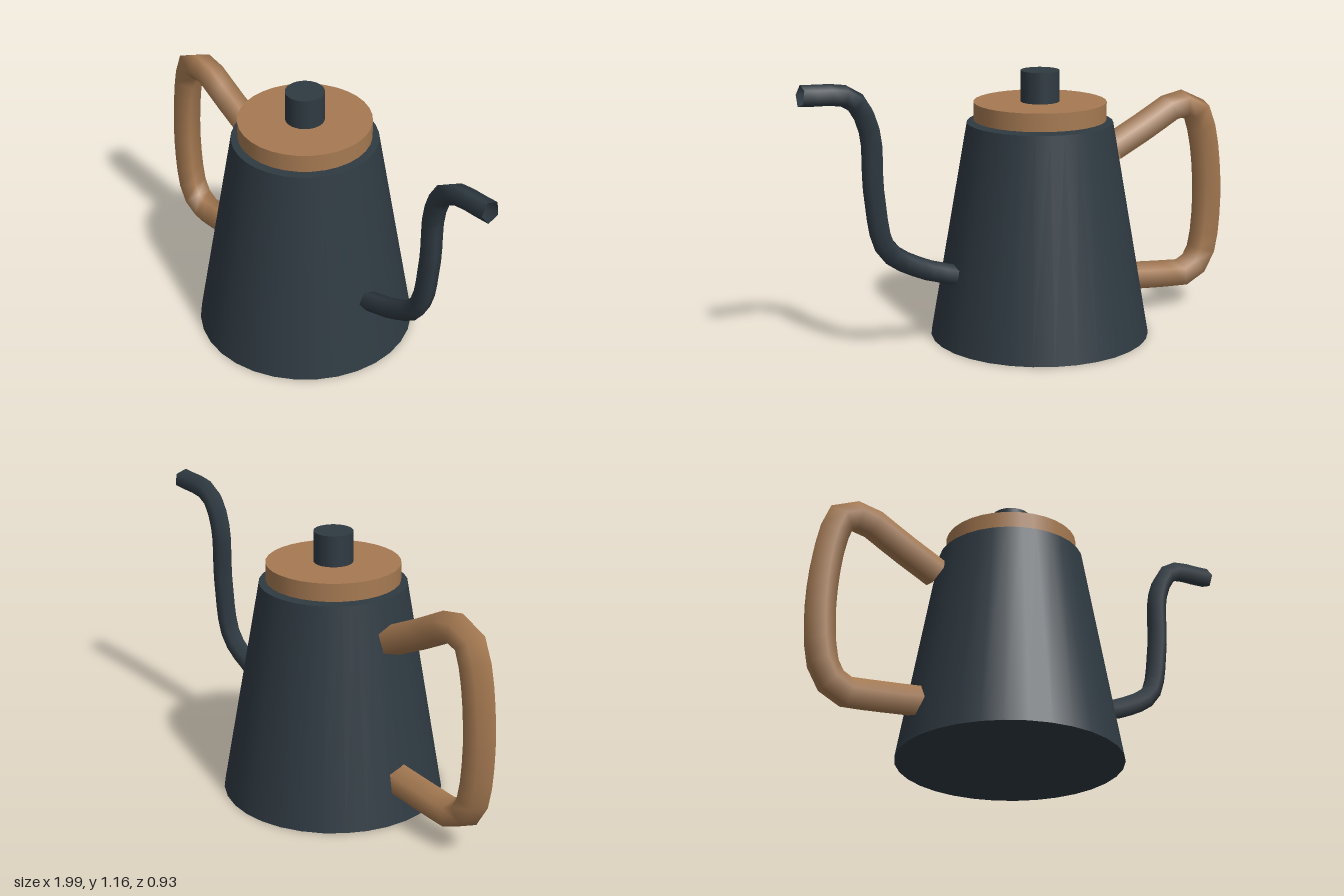
import * as THREE from 'three';

export function createModel() {
  const model = new THREE.Group();
  const metal = new THREE.MeshStandardMaterial({ color: 0x2f3a42 });
  const wood = new THREE.MeshStandardMaterial({ color: 0xa67a52 });
  const axisX = -0.073; // the pot stands off-centre to balance spout and handle

  const add = (name, geometry, material) => {
    const mesh = new THREE.Mesh(geometry, material);
    mesh.name = name;
    model.add(mesh);
    return mesh;
  };

  // Turned part standing between two heights on the pot's axis
  const turned = (name, rTop, rBottom, y0, y1, material) => {
    const geometry = new THREE.CylinderGeometry(rTop, rBottom, y1 - y0, 32);
    add(name, geometry, material).position.set(axisX, (y0 + y1) / 2, 0);
  };

  // Five-sided tube along a curve in the xy plane, open at the ends
  const tube = (name, points, radius, segments, material) => {
    const curve = new THREE.CatmullRomCurve3(points.map(([x, y]) => new THREE.Vector3(x, y, 0)));
    const openMaterial = material.clone();
    openMaterial.side = THREE.DoubleSide;
    add(name, new THREE.TubeGeometry(curve, segments, radius, 5), openMaterial);
  };

  turned('body', 0.305, 0.465, 0, 0.915, metal);
  turned('lid', 0.277, 0.277, 0.925, 1.0, wood);
  turned('lidKnob', 0.081, 0.081, 1.0, 1.13, metal);

  // Gooseneck spout
  tube('spout', [
    [0.33, 0.305], [0.49, 0.36], [0.635, 0.46], [0.685, 0.7],
    [0.7, 0.96], [0.77, 1.085], [0.985, 1.115],
  ], 0.045, 20, metal);

  // Loop handle
  tube('handle', [
    [-0.43, 0.76], [-0.6, 0.84], [-0.76, 0.915], [-0.86, 0.9], [-0.905, 0.8],
    [-0.94, 0.465], [-0.9, 0.21], [-0.82, 0.147], [-0.69, 0.153], [-0.48, 0.174],
  ], 0.066, 20, wood);

  return model;
}
